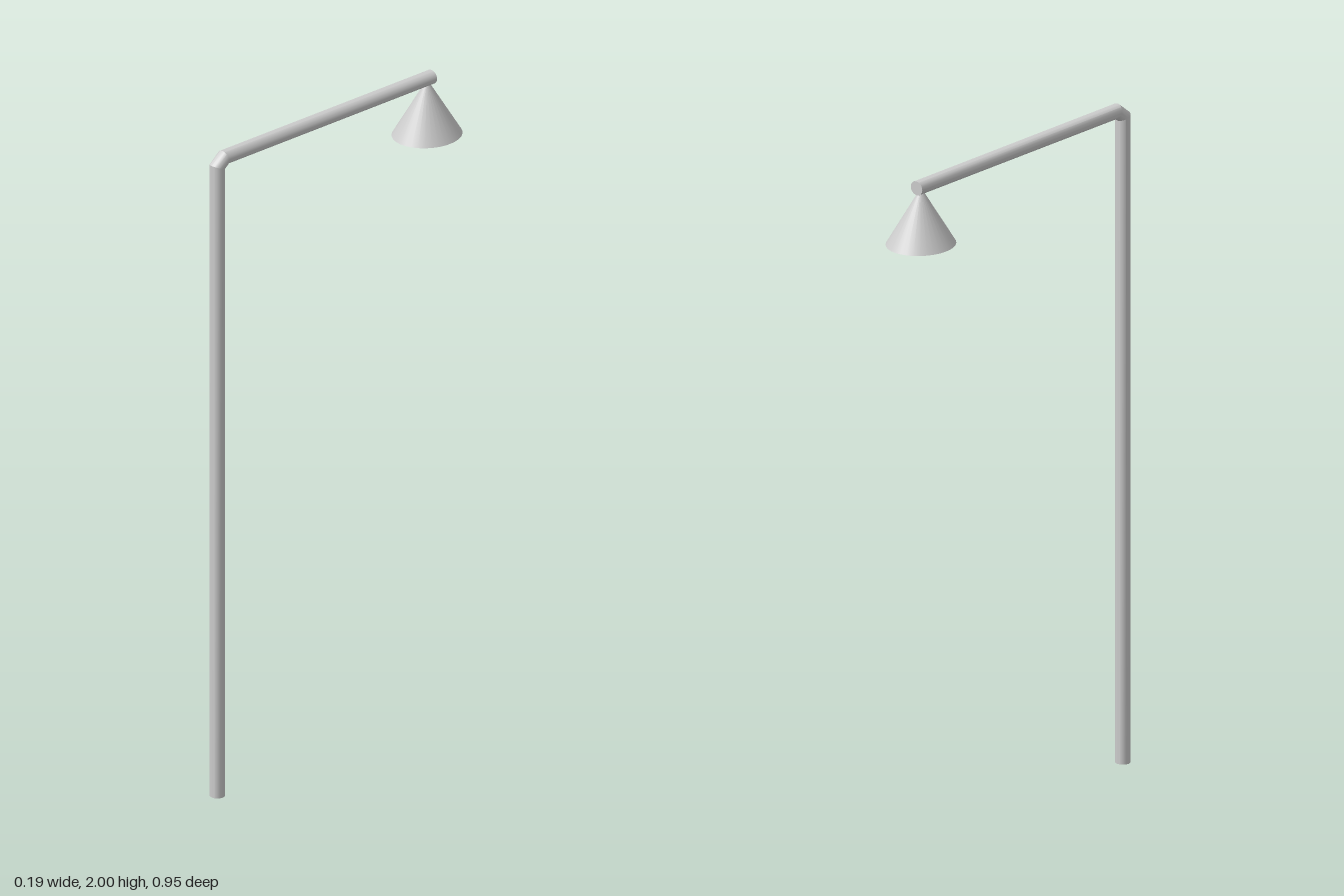
import * as THREE from 'three';
import { toCreasedNormals } from 'three/addons/utils/BufferGeometryUtils.js';

const SIDES = 16;
const RX = 0.0225;

// Mitred tube in the yz plane: each joint gives the outer and inner point [z, y] of its ring
function mitredTube(joints) {
  const pos = [], idx = [];
  for (const { outer, inner } of joints) {
    const cz = (outer[0] + inner[0]) / 2, cy = (outer[1] + inner[1]) / 2;
    for (let i = 0; i < SIDES; i++) {
      const a = (i / SIDES) * Math.PI * 2;
      pos.push(RX * Math.sin(a), cy + (outer[1] - cy) * Math.cos(a), cz + (outer[0] - cz) * Math.cos(a));
    }
  }
  for (let r = 0; r < joints.length - 1; r++) {
    for (let i = 0; i < SIDES; i++) {
      const j = (i + 1) % SIDES, a = r * SIDES + i, b = r * SIDES + j;
      idx.push(a, b, b + SIDES, a, b + SIDES, a + SIDES);
    }
  }
  // End caps
  const last = (joints.length - 1) * SIDES;
  for (let i = 1; i < SIDES - 1; i++) {
    idx.push(0, i + 1, i);
    idx.push(last, last + i, last + i + 1);
  }
  const g = new THREE.BufferGeometry();
  g.setAttribute('position', new THREE.Float32BufferAttribute(pos, 3));
  g.setIndex(idx);
  return toCreasedNormals(g, 0.5);
}

export function createModel() {
  const group = new THREE.Group();
  group.name = 'streetLamp';
  const grey = new THREE.MeshStandardMaterial({ color: 0xcccccc });

  // Upright post, short elbow and gently drooping arm
  const post = new THREE.Mesh(mitredTube([
    { outer: [0.477, 0], inner: [0.434, 0] },
    { outer: [0.477, 1.966], inner: [0.434, 1.948] },
    { outer: [0.435, 2.0], inner: [0.422, 1.957] },
    { outer: [-0.39, 1.99], inner: [-0.39, 1.948] },
  ]), grey);
  post.name = 'postAndArm';
  group.add(post);

  // Conical shade, slightly longer front to back
  const shadeHeight = 0.17;
  const shade = new THREE.Mesh(new THREE.ConeGeometry(0.096, shadeHeight, 32), grey);
  shade.name = 'lampShade';
  shade.scale.z = 1.094;
  shade.position.set(0, 1.797 + shadeHeight / 2, -0.372);
  group.add(shade);

  return group;
}
